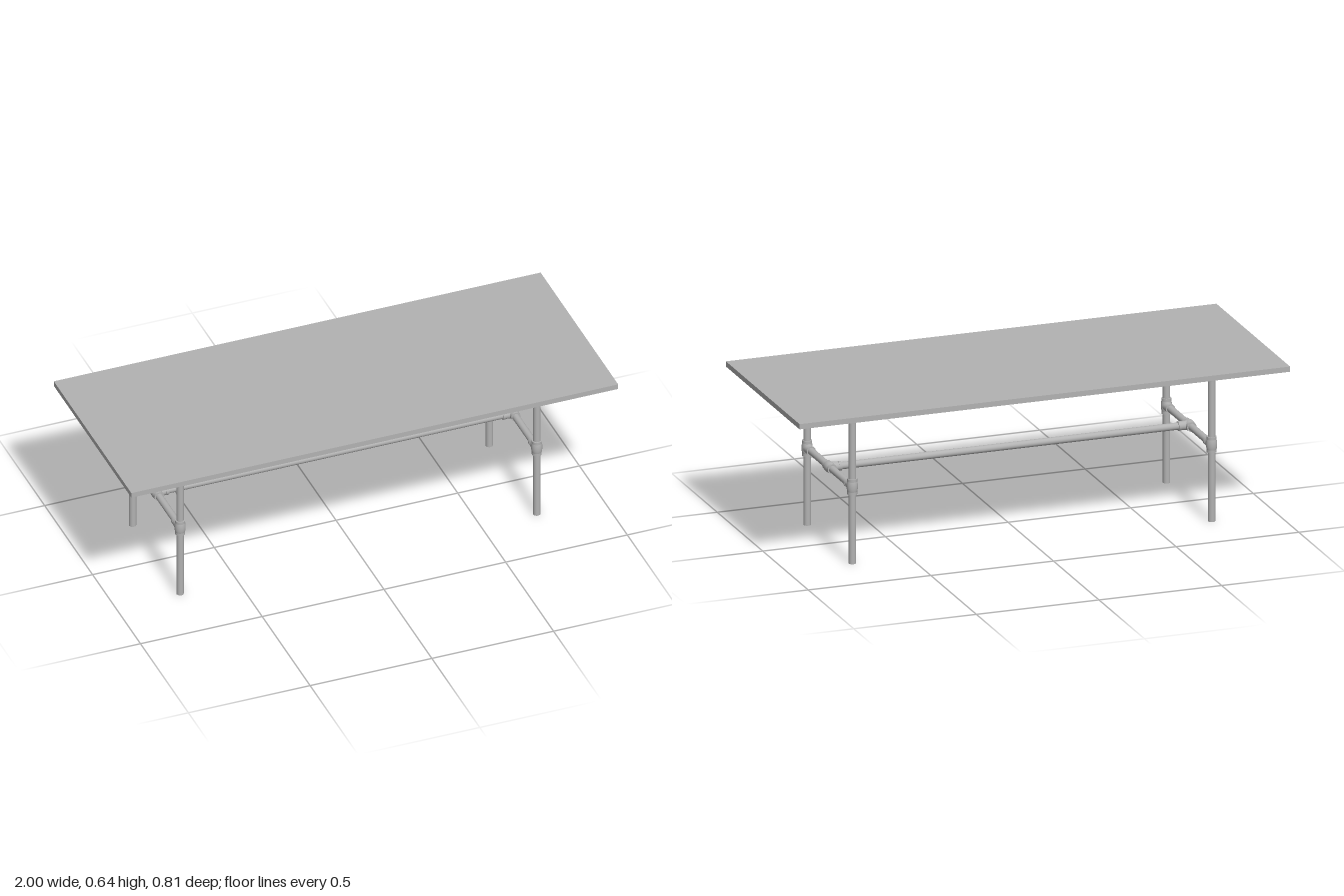
import * as THREE from 'three';

const metal = new THREE.MeshStandardMaterial({ color: 0xb2b2b2 });
metal.name = 'grey';

const LEFT = 0.73, RIGHT = -0.735;   // leg frames along x
const FRONT = 0.24, BACK = -0.256;   // legs along z
const MID = (FRONT + BACK) / 2;
const RAIL_Y = 0.31, PIPE = 0.0142, UNDERSIDE = 0.617;

function add(parent, name, geometry) {
  const mesh = new THREE.Mesh(geometry, metal);
  mesh.name = name;
  parent.add(mesh);
  return mesh;
}

// Round bar or cone between two points
function rod(parent, name, a, b, r0, r1 = r0) {
  const from = new THREE.Vector3(...a), to = new THREE.Vector3(...b);
  const dir = to.clone().sub(from);
  const mesh = add(parent, name, new THREE.CylinderGeometry(r1, r0, dir.length(), 28));
  mesh.position.copy(from).add(to).multiplyScalar(0.5);
  mesh.quaternion.setFromUnitVectors(new THREE.Vector3(0, 1, 0), dir.normalize());
  return mesh;
}

// Barrel-shaped sleeve with a rim at each end, along y
function sleeve(parent, half) {
  const body = [[0.0175, -half + 0.004], [0.0195, -half * 0.6], [0.0215, -half * 0.25],
    [0.0215, half * 0.25], [0.0195, half * 0.6], [0.0175, half - 0.004]];
  add(parent, 'sleeveBody', new THREE.LatheGeometry(body.map(p => new THREE.Vector2(...p)), 28));
  for (const s of [-1, 1])
    rod(parent, 'sleeveRim', [0, s * (half - 0.012), 0], [0, s * half, 0], 0.0192);
}

// Tee joint: sleeve along y, branch along +z
function tee(name) {
  const group = new THREE.Group();
  group.name = name;
  sleeve(group, 0.0315);
  rod(group, 'branch', [0, 0, 0], [0, 0, 0.036], 0.0205, 0.017);
  rod(group, 'branchRim', [0, 0, 0.034], [0, 0, 0.046], 0.0185);
  return group;
}

export function createModel() {
  const model = new THREE.Group();
  model.name = 'table';

  const top = add(model, 'tabletop', new THREE.BoxGeometry(2, 0.021, 0.81));
  top.position.y = UNDERSIDE + 0.0105;

  for (const x of [LEFT, RIGHT]) {
    const frame = new THREE.Group();
    frame.name = x > 0 ? 'leftFrame' : 'rightFrame';
    model.add(frame);

    for (const z of [FRONT, BACK]) {
      rod(frame, 'leg', [x, 0, z], [x, UNDERSIDE, z], PIPE);
      // Flange under the top
      rod(frame, 'flangeSocket', [x, 0.568, z], [x, 0.602, z], 0.0172, 0.0195);
      rod(frame, 'flangeNeck', [x, 0.602, z], [x, UNDERSIDE, z], 0.0208);
      rod(frame, 'flangePlate', [x, UNDERSIDE - 0.002, z], [x, UNDERSIDE, z], 0.042);
      // Joint to the cross rail
      const joint = tee('legTee');
      joint.position.set(x, RAIL_Y, z);
      if (z > 0) joint.rotation.y = Math.PI;
      frame.add(joint);
    }

    rod(frame, 'crossRail', [x, RAIL_Y, BACK], [x, RAIL_Y, FRONT], PIPE);

    // Joint to the long rail: sleeve along z, branch pointing inward
    const joint = tee('railTee');
    joint.rotation.x = Math.PI / 2;
    const holder = new THREE.Group();
    holder.name = 'railJoint';
    holder.add(joint);
    // The branch now points down; roll it inward about z
    holder.rotation.z = x > 0 ? -Math.PI / 2 : Math.PI / 2;
    holder.position.set(x, RAIL_Y, MID);
    frame.add(holder);
  }

  rod(model, 'longRail', [RIGHT, RAIL_Y, MID], [LEFT, RAIL_Y, MID], PIPE);
  return model;
}
